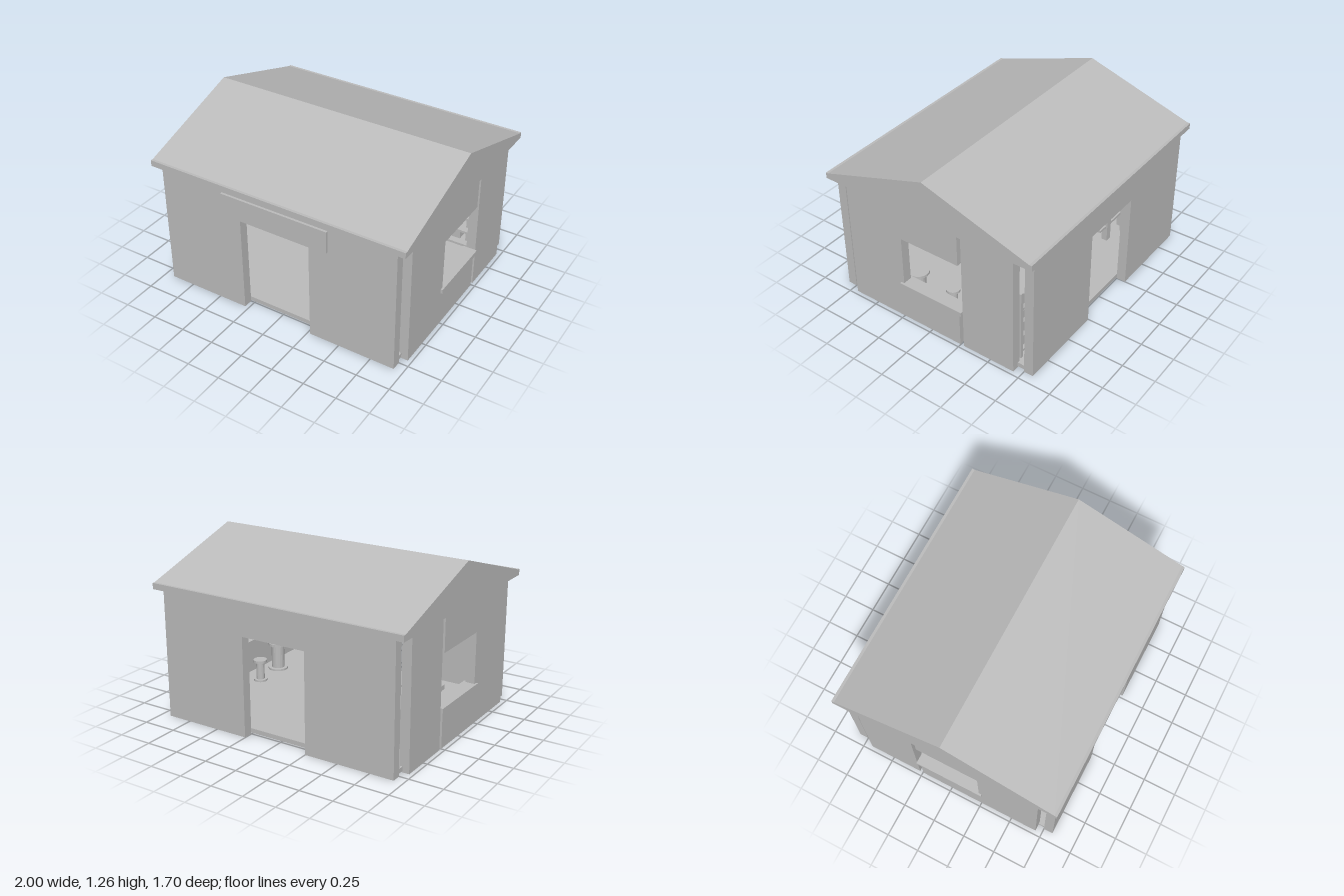
import * as THREE from 'three';

const grey = new THREE.MeshStandardMaterial({ color: 0xbcbcbc });
grey.name = 'plain grey';

export function createModel() {
  const root = new THREE.Group();
  root.name = 'kiosk';

  const add = (name, geometry, parent = root) => {
    const mesh = new THREE.Mesh(geometry, grey);
    mesh.name = name;
    parent.add(mesh);
    return mesh;
  };
  // Box given by its lower and upper limits on each axis
  const box = (name, x0, x1, y0, y1, z0, z1, parent) => {
    const g = new THREE.BoxGeometry(x1 - x0, y1 - y0, z1 - z0);
    g.translate((x0 + x1) / 2, (y0 + y1) / 2, (z0 + z1) / 2);
    return add(name, g, parent);
  };
  const extrude = (points, depth) => new THREE.ExtrudeGeometry(
    new THREE.Shape(points.map(([x, y]) => new THREE.Vector2(x, y))),
    { depth, bevelEnabled: false });
  // Profile drawn in (z, y), extruded along x from x0 to x1
  const extrudeX = (name, points, x0, x1) => {
    const g = extrude(points.map(([z, y]) => [-z, y]), x1 - x0);
    g.rotateY(Math.PI / 2);
    g.translate(x0, 0, 0);
    return add(name, g);
  };
  const top = 0.955;

  // Floor and roof
  box('floor', -0.92, 0.92, 0.01, 0.043, -0.75, 0.75);
  box('roofSlab', -1, 1, top, 1.0, -0.85, 0.85);
  extrudeX('gableRoof', [[-0.83, 1], [0.83, 1], [0, 1.265]], -1, 1);

  // Front and back walls with doorways
  const doorWall = (name, d0, d1, z0) => {
    const g = extrude([[-0.93, 0], [d0, 0], [d0, 0.738], [d1, 0.738], [d1, 0],
      [0.93, 0], [0.93, top], [-0.93, top]], 0.07);
    g.translate(0, 0, z0);
    add(name, g);
  };
  doorWall('frontWall', -0.28, 0.27, 0.75);
  doorWall('backWall', -0.25, 0.253, -0.82);
  box('signBoard', -0.42, 0.42, 0.76, 0.925, 0.82, 0.838);
  box('wallBoard', -0.65, -0.265, 0.43, 0.72, -0.75, -0.735);

  // Side walls with a window notch, a narrow slot and a sill
  for (const s of [-1, 1]) {
    const a = s > 0 ? 0.90 : -0.97;
    extrudeX('windowWall', [[0.70, 0], [0.70, top], [-0.245, top], [-0.245, 0.69],
      [0.235, 0.69], [0.235, 0.29], [-0.245, 0.29], [-0.245, 0]], a, a + 0.07);
    box('sideWallPanel', a, a + 0.07, 0, top, -0.69, -0.275);
    const b = s > 0 ? 0.88 : -0.985;
    box('windowSill', b, b + 0.105, 0.273, 0.305, -0.27, 0.26);
  }

  // Table with a lower shelf and a plate
  const table = new THREE.Group();
  table.name = 'table';
  root.add(table);
  box('tableTop', -0.835, -0.425, 0.305, 0.34, -0.5, 0.04, table);
  box('tableShelf', -0.8, -0.46, 0.16, 0.18, -0.47, -0.02, table);
  for (const x of [-0.81, -0.59]) {
    for (const z of [-0.48, -0.02]) box('tableLeg', x, x + 0.05, 0.043, 0.305, z, z + 0.045, table);
  }
  add('plate', new THREE.CylinderGeometry(0.053, 0.045, 0.015, 20), table).position.set(-0.63, 0.347, -0.122);

  // Shelf rack against the back wall, with goods
  const rack = new THREE.Group();
  rack.name = 'shelfRack';
  root.add(rack);
  for (const x of [0.48, 0.85]) {
    for (const z of [-0.685, -0.55]) box('rackPost', x, x + 0.025, 0.043, 0.6, z, z + 0.025, rack);
  }
  for (const y of [0.09, 0.21, 0.33, 0.45, 0.57]) {
    box('rackShelf', 0.48, 0.875, y, y + 0.018, -0.685, -0.53, rack);
    if (y > 0.5) continue;
    for (let i = 0; i < 3; i++) {
      const x = 0.53 + i * 0.11;
      box('goodsBox', x, x + 0.065, y + 0.018, y + 0.08, -0.66, -0.585, rack);
    }
  }

  // Round stool and taller canister
  const turned = (name, pts, x, z) => {
    const g = new THREE.LatheGeometry(pts.map(([r, y]) => new THREE.Vector2(r, y)), 20).toNonIndexed();
    g.computeVertexNormals();
    add(name, g).position.set(x, 0.043, z);
  };
  turned('stool', [[0, 0], [0.052, 0], [0.052, 0.015], [0.032, 0.015], [0.032, 0.15],
    [0.052, 0.15], [0.052, 0.17], [0, 0.17]], 0.73, 0);
  turned('canister', [[0, 0], [0.077, 0], [0.077, 0.015], [0.05, 0.015], [0.05, 0.2],
    [0.077, 0.2], [0.077, 0.22], [0, 0.22]], 0.765, 0.28);

  return root;
}
